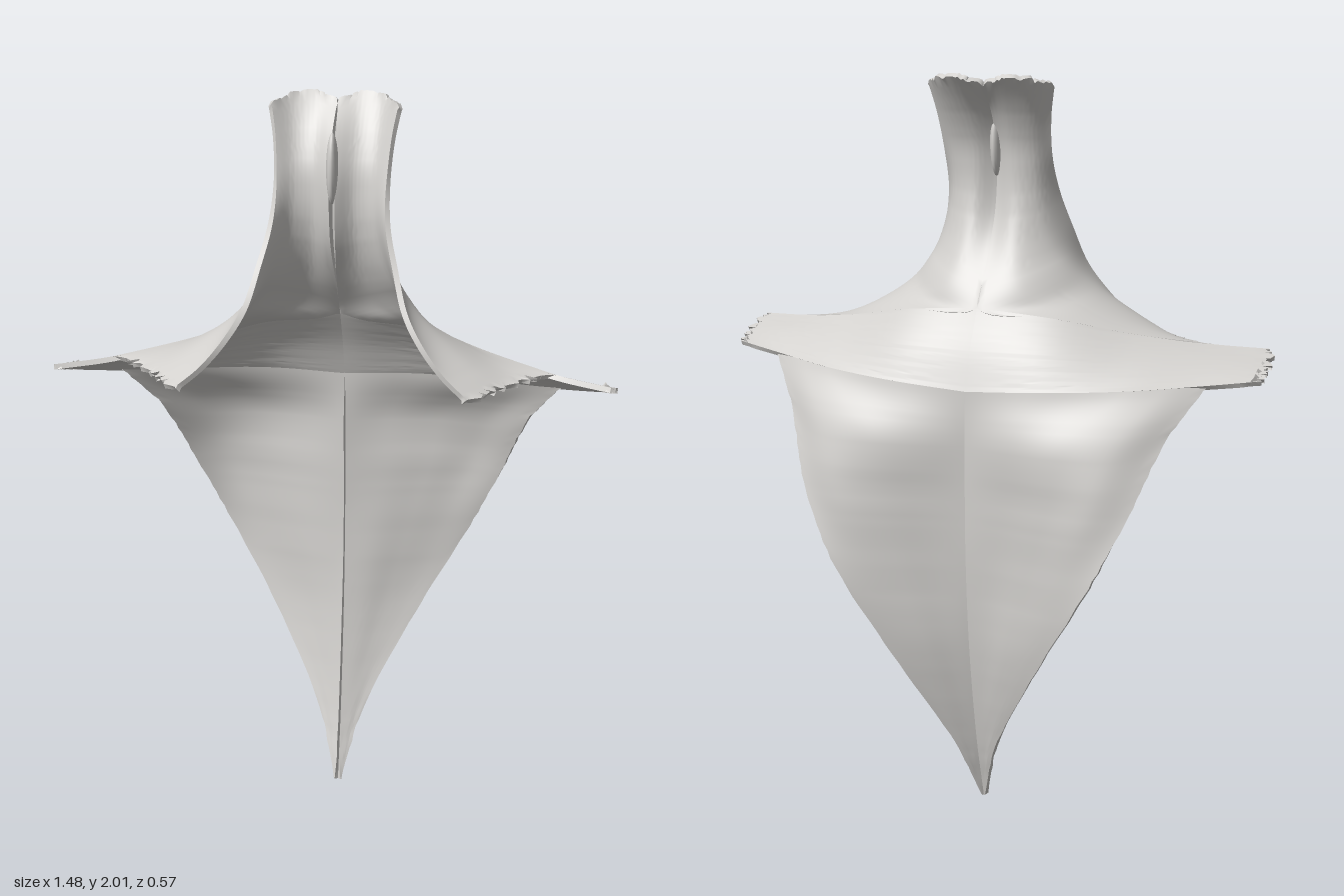
import * as THREE from 'three';
import { toCreasedNormals } from 'three/addons/utils/BufferGeometryUtils.js';

const THICKNESS = 0.014;
const NU = 28, NV = 56;

// Small repeatable noise in -1..1
const noise = (i) => {
  const s = Math.sin(i * 127.1 + 3.7) * 43758.5453;
  return (s - Math.floor(s)) * 2 - 1;
};

const curve = (pts) => new THREE.CatmullRomCurve3(pts);

// Thin closed shell lofted through rows of points; rows run from the spine outward
function shell(rows, fray) {
  const rowCurves = rows.map((r) => curve(r.map((p) => new THREE.Vector3(...p))));
  const w = NU + 1, count = w * (NV + 1);
  const grid = new Array(count);
  for (let i = 0; i <= NU; i++) {
    const column = curve(rowCurves.map((c) => c.getPoint(i / NU)));
    for (let j = 0; j <= NV; j++) {
      const p = column.getPoint(j / NV);
      // faint fibres running outward from the spine
      p.z += 0.0008 * noise(j) * Math.sin(Math.PI * i / NU);
      fray(p, i, j);
      p.x = Math.max(p.x, 0);
      grid[j * w + i] = p;
    }
  }

  const skin = [];
  for (let j = 0; j < NV; j++) {
    for (let i = 0; i < NU; i++) {
      const a = j * w + i, b = a + 1, c = a + w, d = c + 1;
      skin.push(a, b, c, b, d, c);
    }
  }
  const sheet = new THREE.BufferGeometry().setFromPoints(grid);
  sheet.setIndex(skin);
  sheet.computeVertexNormals();
  const n = sheet.attributes.normal;
  const inner = grid.map((p, k) => {
    const q = p.clone().addScaledVector(new THREE.Vector3().fromBufferAttribute(n, k), -THICKNESS);
    q.x = Math.max(q.x, 0);
    return q;
  });

  // inner skin and rim
  const index = [...skin];
  for (let k = 0; k < skin.length; k += 3) {
    index.push(skin[k] + count, skin[k + 2] + count, skin[k + 1] + count);
  }
  const rim = (a, b) => index.push(a, a + count, b, b, a + count, b + count);
  for (let i = 0; i < NU; i++) {
    rim(i, i + 1);
    rim(NV * w + i + 1, NV * w + i);
  }
  for (let j = 0; j < NV; j++) {
    rim((j + 1) * w, j * w);
    rim(j * w + NU, (j + 1) * w + NU);
  }
  const geometry = new THREE.BufferGeometry().setFromPoints([...grid, ...inner]);
  geometry.setIndex(index);
  return geometry;
}

// Mirror across x = 0 and turn the faces back outward
function mirrored(geometry) {
  const g = geometry.clone();
  g.scale(-1, 1, 1);
  const ix = g.index.array;
  for (let k = 0; k < ix.length; k += 3) [ix[k], ix[k + 1]] = [ix[k + 1], ix[k]];
  return g;
}

// Neck and shoulder slope: top rim, down the neck, then out along the shoulder
const upperRows = [
  [[0, 1.98, -0.06], [0.06, 2, -0.085], [0.12, 1.995, -0.065], [0.17, 1.98, 0]],
  [[0, 1.9, 0.01], [0.055, 1.9, -0.015], [0.11, 1.9, -0.01], [0.155, 1.9, 0.025]],
  [[0, 1.8, 0.05], [0.05, 1.8, 0.02], [0.105, 1.8, 0.025], [0.148, 1.8, 0.06]],
  [[0, 1.66, 0.04], [0.055, 1.67, 0.015], [0.115, 1.68, 0.04], [0.155, 1.7, 0.11]],
  [[0, 1.54, -0.025], [0.075, 1.55, -0.025], [0.15, 1.57, 0.04], [0.18, 1.6, 0.155]],
  [[0, 1.42, -0.11], [0.12, 1.46, -0.06], [0.2, 1.5, 0.05], [0.21, 1.5, 0.2]],
  [[0.2, 1.4, -0.085], [0.25, 1.425, 0.01], [0.27, 1.44, 0.11], [0.255, 1.425, 0.235]],
  [[0.4, 1.355, 0], [0.4, 1.362, 0.08], [0.37, 1.368, 0.17], [0.31, 1.36, 0.262]],
  [[0.58, 1.325, 0.085], [0.5, 1.322, 0.13], [0.44, 1.318, 0.2], [0.37, 1.312, 0.285]],
];

// Band running across to the shoulder tip
const middleRows = [
  [[0, 1.42, -0.11], [0.2, 1.4, -0.085], [0.4, 1.355, 0], [0.58, 1.325, 0.085], [0.725, 1.312, 0.135]],
  [[0, 1.32, -0.165], [0.2, 1.32, -0.15], [0.4, 1.305, -0.075], [0.58, 1.295, 0], [0.73, 1.285, 0.05]],
  [[0, 1.22, -0.205], [0.2, 1.232, -0.2], [0.4, 1.24, -0.15], [0.58, 1.25, -0.075], [0.72, 1.262, -0.025]],
];

// Back panel tapering to a point
const lowerRows = [
  [[0, 1.22, -0.205], [0.2, 1.232, -0.2], [0.4, 1.24, -0.15], [0.5, 1.245, -0.11], [0.6, 1.25, -0.06]],
  [[0, 1.1, -0.21], [0.13, 1.1, -0.24], [0.27, 1.1, -0.25], [0.4, 1.1, -0.225], [0.515, 1.12, -0.15]],
  [[0, 0.95, -0.21], [0.12, 0.95, -0.235], [0.24, 0.95, -0.26], [0.35, 0.95, -0.268], [0.45, 0.95, -0.235]],
  [[0, 0.75, -0.205], [0.09, 0.75, -0.22], [0.18, 0.75, -0.245], [0.27, 0.75, -0.268], [0.355, 0.75, -0.28]],
  [[0, 0.5, -0.18], [0.055, 0.5, -0.195], [0.11, 0.5, -0.215], [0.165, 0.5, -0.23], [0.215, 0.5, -0.24]],
  [[0, 0.2, -0.12], [0.015, 0.2, -0.125], [0.03, 0.2, -0.13], [0.045, 0.2, -0.136], [0.062, 0.2, -0.14]],
  [[0, 0, -0.06], [0.001, 0, -0.061], [0.002, 0, -0.062], [0.003, 0, -0.063], [0.005, 0.003, -0.065]],
];

export function createModel() {
  const model = new THREE.Group();
  model.name = 'backMuscle';
  const grey = new THREE.MeshStandardMaterial({ color: 0xd2d0cd, side: THREE.DoubleSide });
  grey.name = 'warm grey';

  const parts = {
    // torn rim at the top of the neck and along the collar edge
    upperPanel: shell(upperRows, (p, i, j) => {
      if (j === 0) p.y = Math.min(2, p.y + 0.006 * noise(i));
      if (j === NV) {
        p.x += 0.012 * noise(i + 40);
        p.z += 0.01 * noise(i + 80);
      }
    }),
    // torn shoulder end
    middleBand: shell(middleRows, (p, i, j) => {
      if (i === NU) p.x += 0.012 * noise(Math.floor(j / 2) + 7);
    }),
    // slightly rough outer edge
    lowerPanel: shell(lowerRows, (p, i, j) => {
      if (i === NU && j < NV - 4) p.x += 0.002 * noise(j + 20);
    }),
  };

  for (const [name, geometry] of Object.entries(parts)) {
    for (const [side, g] of [['Left', geometry], ['Right', mirrored(geometry)]]) {
      const mesh = new THREE.Mesh(toCreasedNormals(g, 0.9), grey);
      mesh.name = name + side;
      model.add(mesh);
    }
  }

  // Small ridge on the inner side of the neck
  const ridge = new THREE.Mesh(new THREE.SphereGeometry(1, 16, 12), grey);
  ridge.name = 'neckRidge';
  ridge.scale.set(0.015, 0.09, 0.035);
  ridge.position.set(0, 1.83, 0.052);
  model.add(ridge);

  return model;
}
